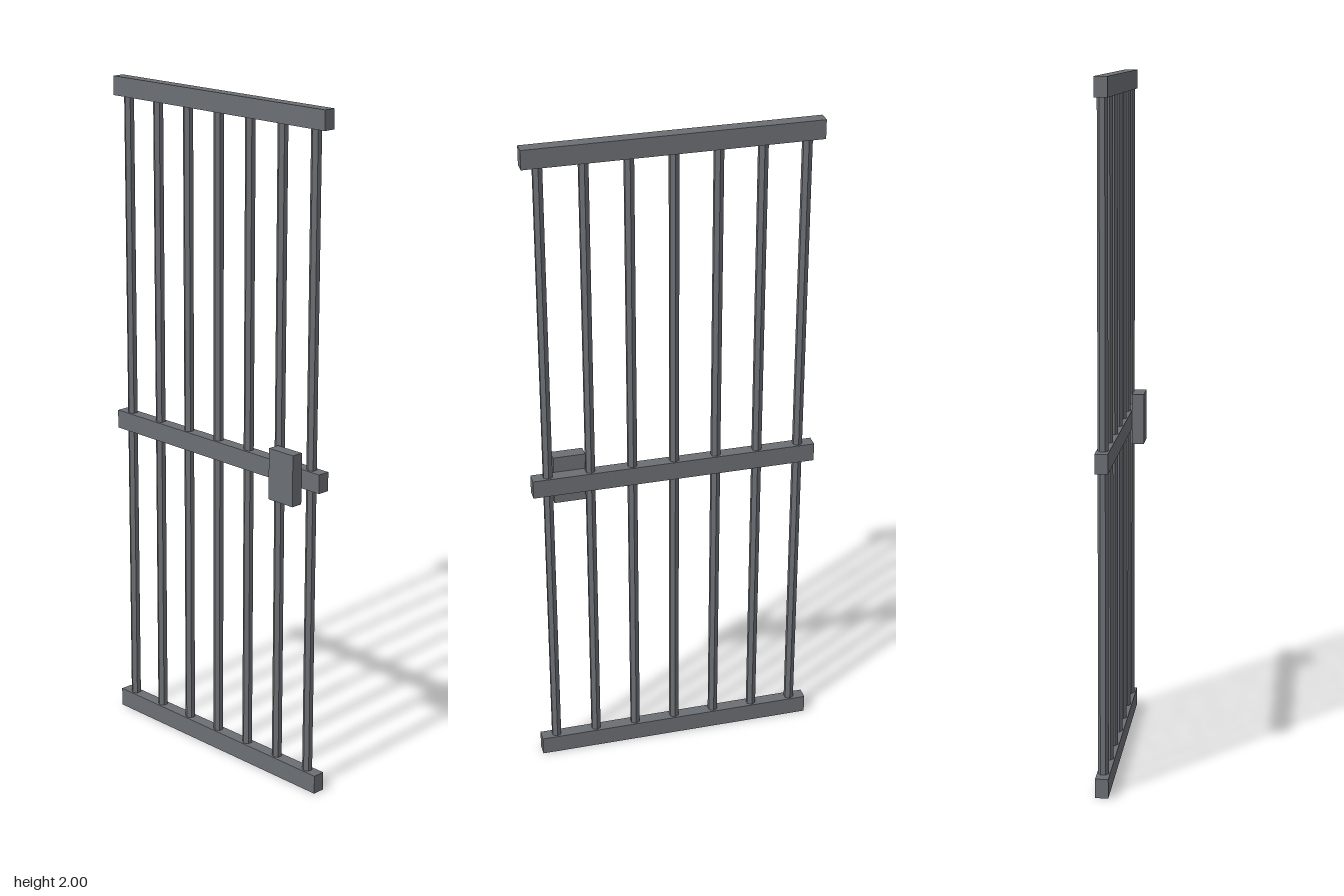
import * as THREE from 'three';

export function createModel() {
  const group = new THREE.Group();
  const iron = new THREE.MeshStandardMaterial({ color: 0x6b6e73, flatShading: true });
  iron.name = 'iron grey';
  const depth = 0.037, z = -0.018;

  const add = (name, geometry, x, y, zPos) => {
    const mesh = new THREE.Mesh(geometry, iron);
    mesh.name = name;
    mesh.position.set(x, y, zPos);
    group.add(mesh);
  };

  // Horizontal rails
  const rail = new THREE.BoxGeometry(0.844, 0.056, depth);
  add('bottomRail', rail, 0, 0.028, z);
  add('middleRail', rail, 0, 0.956, z);
  add('topRail', rail, 0, 1.972, z);

  // Seven six-sided upright bars
  const bar = new THREE.CylinderGeometry(0.015, 0.015, 1.92, 6);
  for (let i = -3; i <= 3; i++) add('bar' + (i + 4), bar, i * 0.125, 1, z);

  // Lock box on the front of the middle rail
  add('lockBox', new THREE.BoxGeometry(0.094, 0.152, 0.036), 0.307, 0.956, 0.018);

  return group;
}
